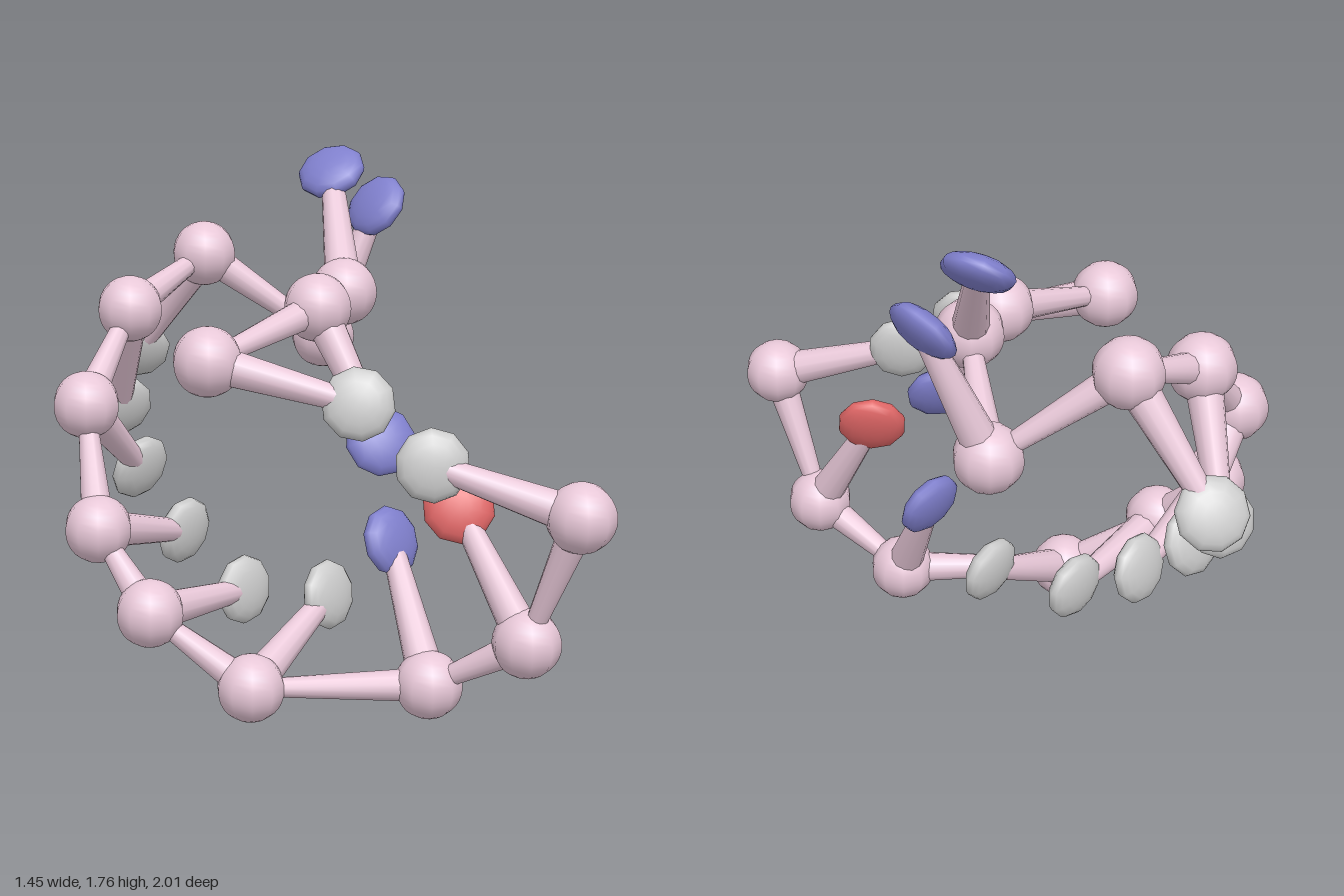
import * as THREE from 'three';

const UP = new THREE.Vector3(0, 1, 0);
const paint = (color) => new THREE.MeshStandardMaterial({ color });

// One entry per link of the strand: bead centre, disc centre, disc facing, disc colour
const LINKS = [
  { bead: [0.61, 0.76, 0.89], disc: [0.23, 0.90, 0.63], facing: [-0.35, 0.15, 0.94], tint: 'grey' },
  { bead: [0.53, 0.31, 0.71], disc: [0.40, 0.71, 0.475], facing: [-0.37, 0.38, 0.92], tint: 'red' },
  { bead: [0.31, 0.12, 0.46], disc: [0.30, 0.53, 0.18], facing: [0.41, 0.38, 0.91], tint: 'blue' },
  { bead: [-0.23, 0.115, 0.26], disc: [0.14, 0.32, 0.03], facing: [0.48, 0.2, 0.87], tint: 'grey' },
  { bead: [-0.51, 0.35, 0.085], disc: [-0.09, 0.31, -0.16], facing: [0.42, 0.1, 0.9], tint: 'grey' },
  { bead: [-0.615, 0.59, -0.12], disc: [-0.225, 0.475, -0.38], facing: [0.48, -0.15, 0.88], tint: 'grey' },
  { bead: [-0.59, 0.965, -0.305], disc: [-0.32, 0.665, -0.565], facing: [0.4, -0.3, 0.9], tint: 'grey' },
  { bead: [-0.37, 1.24, -0.495], disc: [-0.325, 0.84, -0.755], facing: [0.1, -0.36, 0.92], tint: 'grey' },
  { bead: [-0.03, 1.38, -0.69], disc: [-0.195, 1.0, -0.945], facing: [-0.15, -0.47, 0.88], tint: 'grey' },
  { bead: [0.355, 1.09, -0.53], disc: [0.545, 1.54, -0.505], facing: [0.78, -0.58, -0.3], tint: 'blue' },
  { bead: [0.265, 1.315, -0.14], disc: [0.355, 1.675, -0.46], facing: [-0.48, 0.78, 0.42], tint: 'blue' },
  { bead: [0.1, 1.3, 0.025], disc: [0.215, 0.9, 0.275], facing: [-0.12, 0.45, 0.89], tint: 'blue' },
  { bead: [-0.35, 1.19, 0.205], disc: [0.06, 1.07, 0.445], facing: [-0.42, 0.28, 0.88], tint: 'grey' },
];

const vec = (a) => new THREE.Vector3(...a);

// Tapered rod running from point a to point b
function rod(name, a, b, rA, rB, material) {
  const dir = b.clone().sub(a);
  const mesh = new THREE.Mesh(new THREE.CylinderGeometry(rB, rA, dir.length(), 12), material);
  mesh.name = name;
  mesh.position.copy(a).add(b).multiplyScalar(0.5);
  mesh.quaternion.setFromUnitVectors(UP, dir.normalize());
  return mesh;
}

export function createModel() {
  const group = new THREE.Group();
  group.name = 'helixStrand';
  const pink = paint(0xe8c8d8);
  const tints = { grey: paint(0xcccccc), blue: paint(0x7f7fcc), red: paint(0xe06666) };
  const beadGeometry = new THREE.SphereGeometry(0.112, 10, 16);
  const discGeometry = new THREE.SphereGeometry(0.118, 10, 10).scale(1, 0.43, 1);

  LINKS.forEach((link, i) => {
    const centre = vec(link.bead);
    const tip = vec(link.disc);

    // Backbone bead
    const bead = new THREE.Mesh(beadGeometry, pink);
    bead.name = 'backboneBead';
    bead.position.copy(centre);
    group.add(bead);

    // Side arm, narrowing towards its disc
    group.add(rod('sideArm', centre, tip, 0.064, 0.036, pink));

    // Flattened disc at the end of the arm
    const disc = new THREE.Mesh(discGeometry, tints[link.tint]);
    disc.name = link.tint + 'Disc';
    disc.position.copy(tip);
    disc.quaternion.setFromUnitVectors(UP, vec(link.facing).normalize());
    group.add(disc);

    // Tapered connector to the next bead
    if (i < LINKS.length - 1) {
      group.add(rod('backboneRod', centre, vec(LINKS[i + 1].bead), 0.056, 0.028, pink));
    }
  });
  return group;
}
